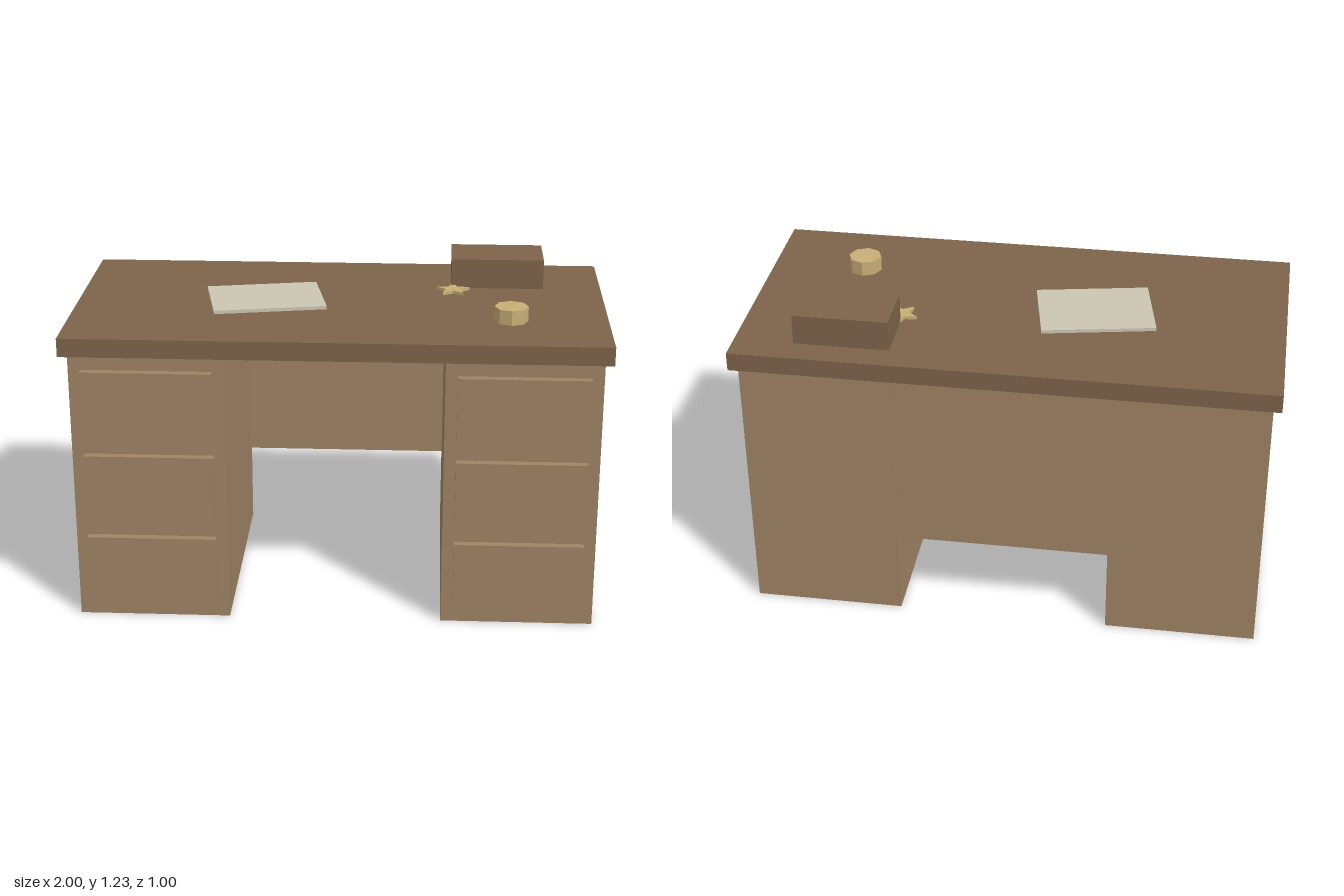
import * as THREE from 'three';

const material = (name, color) => {
  const m = new THREE.MeshStandardMaterial({ color });
  m.name = name;
  return m;
};

export function createModel() {
  const wood = material('light wood', 0x9e8464);
  const darkWood = material('dark wood', 0x7d634a);
  const paper = material('paper', 0xcbc5b3);
  const brass = material('brass', 0xc8ae76);

  const desk = new THREE.Group();
  desk.name = 'desk';

  const add = (name, geometry, mat, x, y, z, parent = desk) => {
    const mesh = new THREE.Mesh(geometry, mat);
    mesh.name = name;
    mesh.position.set(x, y, z);
    parent.add(mesh);
    return mesh;
  };
  // Box given by its minimum and maximum corners
  const box = (name, mat, a, b, parent) => add(name,
    new THREE.BoxGeometry(b[0] - a[0], b[1] - a[1], b[2] - a[2]), mat,
    (a[0] + b[0]) / 2, (a[1] + b[1]) / 2, (a[2] + b[2]) / 2, parent);

  const under = 1.045, top = 1.115;
  box('desktop', darkWood, [-1, under, -0.5], [1, top, 0.5]);
  box('modestyPanel', wood, [-0.4, 0.33, -0.46], [0.4, under, -0.41]);

  // Two pedestals, each with three raised drawer fronts
  for (const [side, cx] of [['left', 0.685], ['right', -0.685]]) {
    const pedestal = new THREE.Group();
    pedestal.name = side + 'Pedestal';
    desk.add(pedestal);
    box('cabinet', wood, [cx - 0.285, 0, -0.47], [cx + 0.285, under, 0.47], pedestal);
    for (let i = 0; i < 3; i++) {
      const y = 0.075 + i * 0.328;
      box('drawerFront', wood, [cx - 0.24, y, 0.465], [cx + 0.24, y + 0.256, 0.5], pedestal);
    }
  }

  // Objects lying on the desktop
  box('deskBox', darkWood, [0.422, top, -0.394], [0.777, 1.23, -0.181]);

  const sheet = box('paperStack', paper, [-0.4985, top, -0.155], [-0.0735, 1.128, 0.155]);
  sheet.rotation.y = 0.19;

  const potMat = brass;
  const pot = new THREE.CylinderGeometry(0.063, 0.063, 0.056, 8).toNonIndexed();
  pot.computeVertexNormals();
  add('inkPot', pot, potMat, 0.64, top + 0.028, 0.213);

  // Five-pointed star badge laid flat
  const points = [];
  for (let i = 0; i < 10; i++) {
    const r = i % 2 ? 0.03 : 0.067;
    const a = Math.PI / 2 + i * Math.PI / 5;
    points.push(new THREE.Vector2(r * Math.cos(a), r * Math.sin(a)));
  }
  const star = new THREE.ExtrudeGeometry(new THREE.Shape(points), { depth: 0.012, bevelEnabled: false });
  star.rotateX(-Math.PI / 2);
  add('starBadge', star, brass, 0.428, top, -0.136);

  return desk;
}
